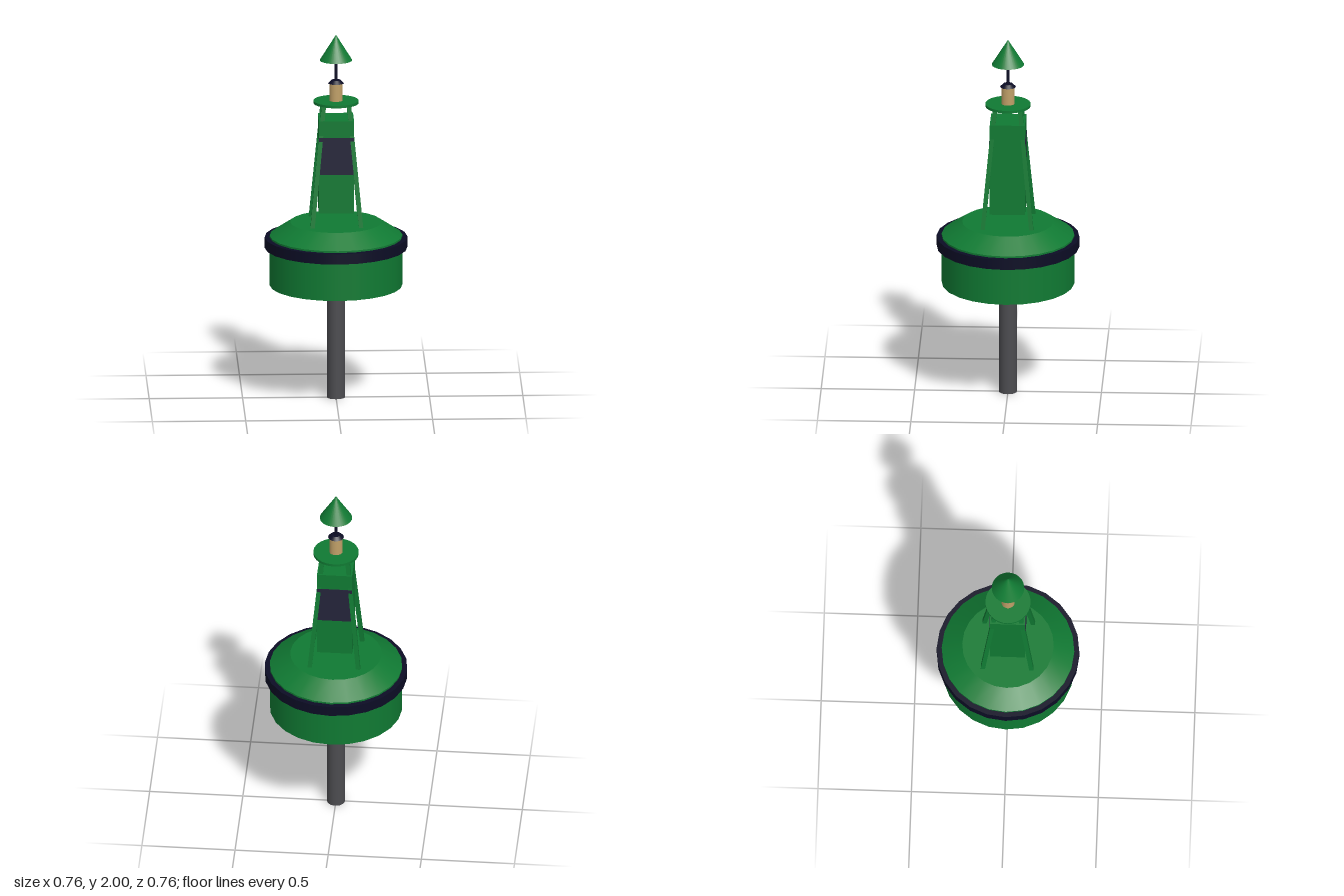
import * as THREE from 'three';

const material = (name, color) => {
  const m = new THREE.MeshStandardMaterial({ color });
  m.name = name;
  return m;
};

export function createModel() {
  const buoy = new THREE.Group();
  buoy.name = 'buoy';
  const green = material('green paint', 0x107a33);
  const black = material('black rubber', 0x0c0d25);
  const navy = material('dark panel', 0x25253a);
  const tan = material('lamp glass', 0xc0a068);
  const grey = material('grey steel', 0x4c4c50);

  const add = (name, geometry, mat, x = 0, y = 0, z = 0) => {
    const mesh = new THREE.Mesh(geometry, mat);
    mesh.name = name;
    mesh.position.set(x, y, z);
    buoy.add(mesh);
    return mesh;
  };
  // Upright round part given by its bottom and top heights
  const round = (name, mat, rBottom, rTop, y0, y1, sides = 24) =>
    add(name, new THREE.CylinderGeometry(rTop, rBottom, y1 - y0, sides), mat, 0, (y0 + y1) / 2);

  // Float body
  round('tailTube', grey, 0.048, 0.048, 0, 0.63);
  round('floatDrum', green, 0.355, 0.355, 0.62, 0.895);
  round('floatShoulder', green, 0.355, 0.245, 0.895, 0.968);
  round('fender', black, 0.382, 0.382, 0.828, 0.885);

  // Tower box with a dark panel on the front and back
  add('towerBox', new THREE.BoxGeometry(0.188, 0.508, 0.188), green, 0, 1.291, 0);
  for (const s of [1, -1]) {
    add(s > 0 ? 'frontPanel' : 'backPanel', new THREE.BoxGeometry(0.186, 0.204, 0.006), navy, 0, 1.352, s * 0.094);
  }

  // Four legs: square bars sheared inwards towards the top
  const y0 = 0.965, y1 = 1.628, bottom = 0.13, top = 0.067;
  for (const sx of [1, -1]) {
    for (const sz of [1, -1]) {
      const g = new THREE.BoxGeometry(0.023, y1 - y0, 0.023);
      const p = g.attributes.position;
      for (let i = 0; i < p.count; i++) {
        const offset = p.getY(i) > 0 ? top : bottom;
        p.setX(i, p.getX(i) + sx * offset);
        p.setZ(i, p.getZ(i) + sz * offset);
      }
      g.computeVertexNormals();
      add('leg', g, green, 0, (y0 + y1) / 2, 0);
    }
  }

  // Platform, lamp and topmark
  round('platform', green, 0.121, 0.121, 1.624, 1.638, 32);
  round('lamp', tan, 0.036, 0.036, 1.638, 1.735);
  round('lampCap', black, 0.042, 0.025, 1.733, 1.75);
  round('topmarkRod', black, 0.009, 0.009, 1.745, 1.87, 12);
  add('topmarkCone', new THREE.ConeGeometry(0.087, 0.14, 32), green, 0, 1.93, 0);

  return buoy;
}
